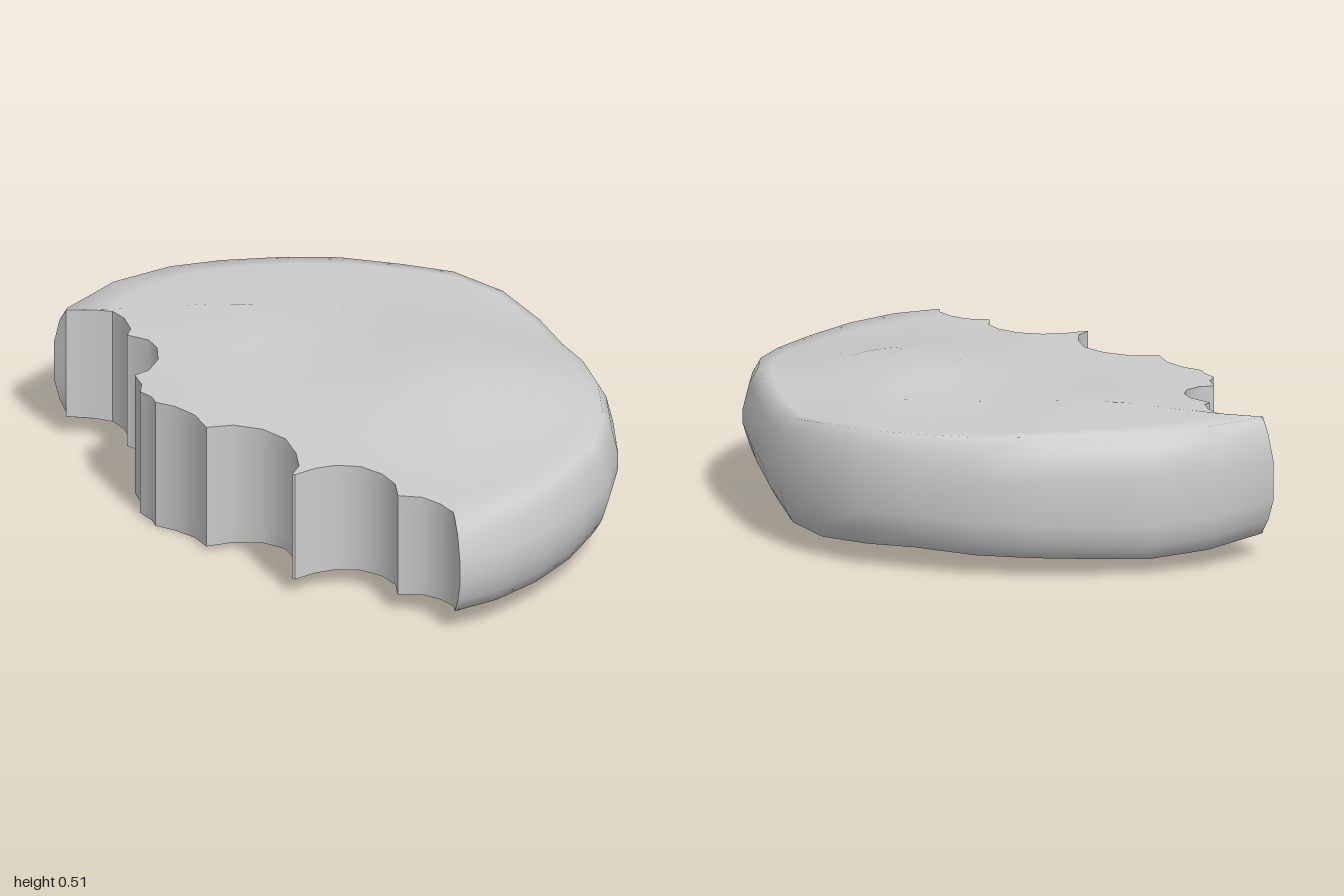
import * as THREE from 'three';
import { mergeVertices, toCreasedNormals } from 'three/addons/utils/BufferGeometryUtils.js';

// Outline seen from above as [x, z]: rounded rim, then the scalloped bite
const RIM = [
  [-1, -0.18], [-0.9, -0.4], [-0.75, -0.56], [-0.6, -0.66], [-0.4, -0.765], [-0.22, -0.83],
  [0, -0.855], [0.18, -0.86], [0.38, -0.795], [0.55, -0.68], [0.68, -0.53], [0.8, -0.38],
  [0.9, -0.22], [0.975, -0.03], [1, 0.17], [0.97, 0.37], [0.91, 0.57], [0.82, 0.74], [0.7, 0.855],
];
const BITE = [
  [0.655, 0.78], [0.6, 0.74], [0.53, 0.715], [0.45, 0.73], [0.42, 0.66], [0.36, 0.61],
  [0.28, 0.585], [0.2, 0.6], [0.14, 0.64], [0.09, 0.7], [0.08, 0.7], [0.085, 0.64],
  [0.05, 0.56], [-0.01, 0.48], [-0.1, 0.44], [-0.2, 0.44], [-0.28, 0.48], [-0.34, 0.41],
  [-0.42, 0.37], [-0.49, 0.36], [-0.51, 0.33], [-0.56, 0.3], [-0.57, 0.25], [-0.61, 0.195],
  [-0.575, 0.15], [-0.565, 0.08], [-0.59, 0.01], [-0.63, -0.03], [-0.71, -0.05],
  [-0.71, -0.09], [-0.75, -0.15], [-0.8, -0.185], [-0.87, -0.18], [-0.95, -0.155],
];
const HUB = [0.3, -0.5]; // every outline point is visible from here
const RINGS = 9;

// Soft hills and hollows as [x, z, radius, height]
const TOP_BUMPS = [
  [0.4, -0.1, 0.45, 0.07], [-0.42, -0.25, 0.35, 0.038], [-0.75, 0.1, 0.35, -0.018],
  [0.66, -0.6, 0.27, -0.055], [1, 0.15, 0.35, -0.018],
];
const BOTTOM_BUMPS = [
  [0.9, -0.33, 0.35, 0.075], [-0.45, 0.35, 0.37, -0.067], [0.3, -0.36, 0.32, -0.044],
  [-0.75, -0.5, 0.25, -0.022], [0.05, -0.86, 0.27, 0.022], [0.8, 0.75, 0.3, 0.014],
];
const relief = (bumps, x, z) => bumps.reduce((sum, [cx, cz, radius, height]) =>
  sum + height * Math.exp(-((x - cx) ** 2 + (z - cz) ** 2) / radius ** 2), 0);
const topY = (x, z) => 0.45 - 0.025 * x - 0.01 * z + relief(TOP_BUMPS, x, z);
const bottomY = (x, z) => 0.06 + 0.025 * x * x + relief(BOTTOM_BUMPS, x, z);

// One cross-section: hub, across the top, down the edge, back under to the hub
function section([x, z], round) {
  const dx = 0.1 - x, dz = 0.05 - z, len = Math.hypot(dx, dz);
  const at = (inset) => [x + dx / len * inset * round, z + dz / len * inset * round];
  const [ex, ez] = at(0.05);
  const top = topY(ex, ez), bottom = bottomY(ex, ez);
  const flat = (t, height) => {
    const px = HUB[0] + (ex - HUB[0]) * t, pz = HUB[1] + (ez - HUB[1]) * t;
    return [px, height(px, pz), pz];
  };
  const points = [];
  for (let i = 0; i <= RINGS; i++) points.push(flat(i / RINGS, topY));
  for (const [inset, y] of [[0.022, top - 0.05], [0, top - 0.14], [0, bottom + 0.12], [0.022, bottom + 0.05]]) {
    const [px, pz] = at(inset);
    points.push([px, y, pz]);
  }
  for (let i = RINGS; i >= 0; i--) points.push(flat(i / RINGS, bottomY));
  return points;
}

function build(positions, index) {
  const geometry = new THREE.BufferGeometry();
  geometry.setAttribute('position', new THREE.Float32BufferAttribute(positions, 3));
  geometry.setIndex(index);
  return mergeVertices(geometry, 1e-5);
}

export function createModel() {
  const group = new THREE.Group();
  group.name = 'bittenCookie';
  const material = new THREE.MeshStandardMaterial({ color: 0xcccccc });

  const last = RIM.length - 1;
  const sections = [...RIM.map((p) => section(p, 1)), ...BITE.map((p) => section(p, 0))];
  const rows = sections[0].length, columns = sections.length;
  const body = [], wall = [];
  for (let i = 0; i < columns; i++) {
    for (let r = 0; r < rows - 1; r++) {
      const a = i * rows + r, b = ((i + 1) % columns) * rows + r;
      const isBite = i >= last && r >= RINGS && r < rows - 1 - RINGS;
      const list = isBite ? wall : body;
      if (r > 0) list.push(a, b, b + 1);
      if (r < rows - 2) list.push(a, b + 1, a + 1);
      else list.push(a, b, a + 1);
    }
  }
  const positions = sections.flat(2);

  // Smooth top, bottom and rounded rim
  const bodyGeometry = build(positions, body);
  bodyGeometry.computeVertexNormals();
  const cookie = new THREE.Mesh(bodyGeometry, material);
  cookie.name = 'cookieBody';

  // Scalloped wall of the bite, sharp at its cusps
  const bite = new THREE.Mesh(toCreasedNormals(build(positions, wall), 0.65), material);
  bite.name = 'biteWall';

  group.add(cookie, bite);
  return group;
}
